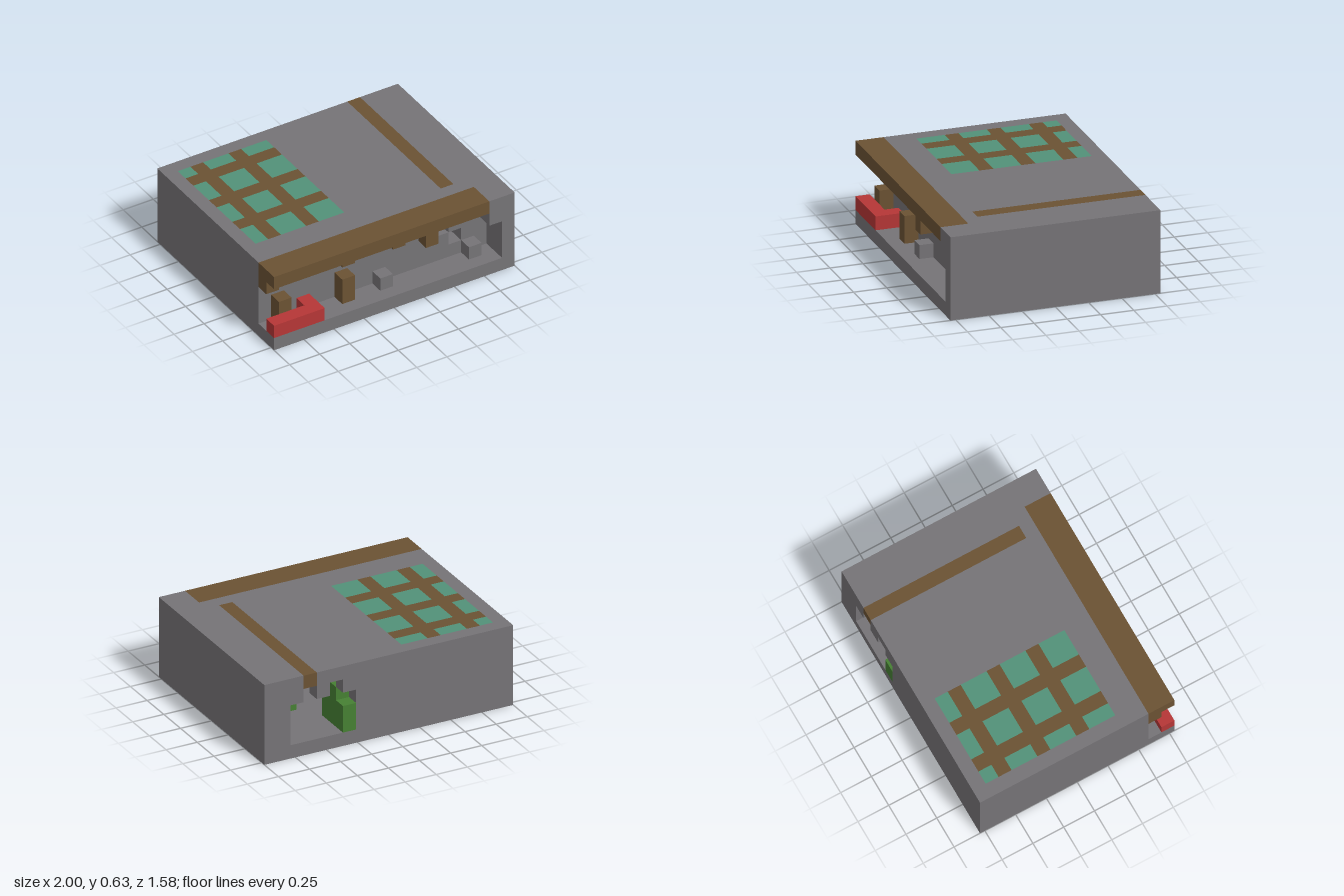
import * as THREE from 'three';

const U = 2 / 19; // one block; the building is 19 x 6 x 15 blocks

const material = (name, color) => {
  const m = new THREE.MeshStandardMaterial({ color });
  m.name = name;
  return m;
};

export function createModel() {
  const stone = material('grey stone', 0x757376);
  const wood = material('brown wood', 0x6b5233);
  const glass = material('teal glass', 0x529178);
  const leaf = material('green leaves', 0x468033);
  const red = material('red bench', 0xb53636);

  const model = new THREE.Group();
  model.name = 'blockHouse';

  // Box spanning block coordinates; x from the right side, z from the back
  const block = (name, mat, x0, x1, y0, y1, z0, z1) => {
    const g = new THREE.BoxGeometry((x1 - x0) * U, (y1 - y0) * U, (z1 - z0) * U);
    g.translate(((x0 + x1) / 2 - 9.5) * U, ((y0 + y1) / 2) * U, ((z0 + z1) / 2 - 7.5) * U);
    const mesh = new THREE.Mesh(g, mat);
    mesh.name = name;
    model.add(mesh);
  };

  // Floor and side walls
  block('floor', stone, 0, 19, 0, 1, 0, 15);
  block('rightWall', stone, 0, 1, 1, 5, 0, 13);
  block('leftWall', stone, 18, 19, 1, 5, 0, 15);

  // Back wall with a toothed opening
  block('backWall', stone, 1, 12, 1, 5, 0, 1);
  block('backWall', stone, 17, 18, 1, 5, 0, 1);
  for (const x of [12, 14, 16]) block('lintelTooth', stone, x, x + 1, 4, 5, 0, 1);

  // Front wall with a niche and a small window
  block('frontWall', stone, 1, 14, 1, 5, 11, 13);
  block('nicheSill', stone, 14, 15, 1, 3, 11, 13);
  block('nicheBack', stone, 14, 15, 3, 4, 11, 12);
  block('nicheTop', stone, 14, 15, 4, 5, 11, 13);
  block('windowSill', stone, 15, 16, 1, 2, 11, 13);
  block('windowTop', stone, 15, 16, 3, 5, 11, 13);
  block('frontWall', stone, 16, 18, 1, 5, 11, 13);
  block('porchCorner', stone, 17, 18, 4, 5, 13, 15);

  // Roof slab pieces around the skylight and beams
  const slabs = [[0, 1, 0, 13], [1, 8, 0, 1], [1, 8, 11, 13], [8, 15, 0, 13],
    [15, 16, 12, 13], [16, 19, 0, 13], [17, 19, 13, 15]];
  for (const [x0, x1, z0, z1] of slabs) block('roof', stone, x0, x1, 5, 6, z0, z1);
  block('porchBeam', wood, 0, 17, 5, 6, 13, 15);
  block('roofBeam', wood, 15, 16, 5, 6, 0, 12);

  // Skylight: panes between wooden bars
  const columns = [[1, 2], [3, 5], [6, 8]];
  const rows = [[1, 2], [3, 5], [6, 8], [9, 11]];
  for (const [x0, x1] of columns)
    for (const [z0, z1] of rows) block('skylightPane', glass, x0, x1, 5, 6, z0, z1);
  for (const z of [2, 5, 8]) block('skylightCrossbar', wood, 1, 8, 5, 6, z, z + 1);
  for (const x of [2, 5])
    for (const [z0, z1] of rows) block('skylightBar', wood, x, x + 1, 5, 6, z0, z1);

  // Porch posts, hanging beam ends, stones and bench
  for (const x of [1, 6]) block('porchPost', wood, x, x + 1, 1, 3, 13, 14);
  for (const [x, z] of [[0, 13], [6, 13], [10, 13], [12, 14]])
    block('hangingBeam', wood, x, x + 1, 4, 5, z, z + 1);
  for (const x of [9, 16]) block('porchStone', stone, x, x + 1, 1, 2, 13, 14);
  block('bench', red, 0, 4, 1, 2, 14, 15);
  block('benchEnd', red, 3, 4, 1, 2, 13, 14);

  // Plants climbing on both sides of the back opening
  for (let i = 0; i < 3; i++) block('plantStep', leaf, 12, 13, 1, 3 + i, i, i + 1);
  block('plantWall', leaf, 17, 18, 1, 5, 1, 3);
  block('hangingPlant', leaf, 16, 17, 3, 4, 1, 2);

  return model;
}
